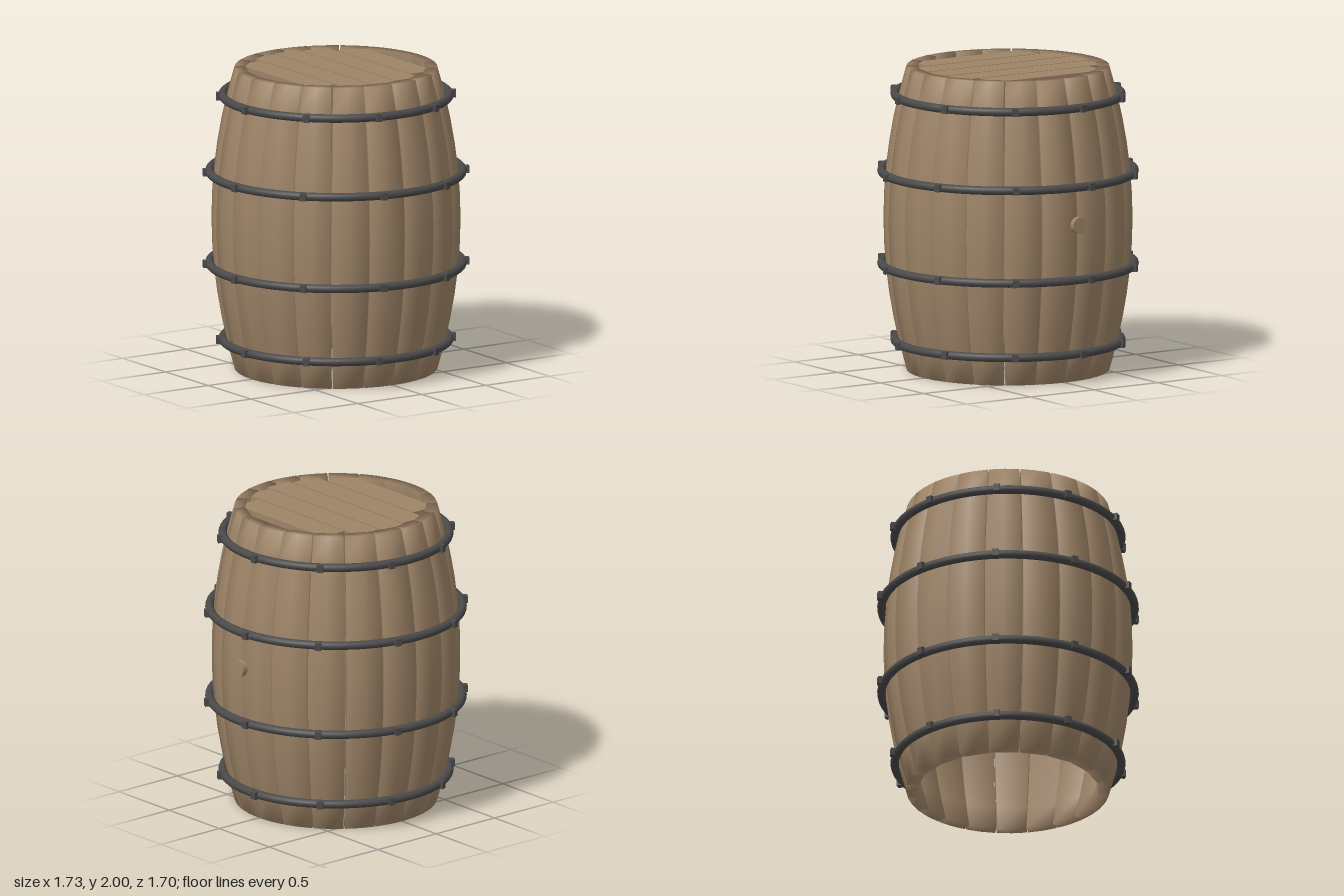
import * as THREE from 'three';

const STAVES = 20;
const LEVELS = 12;
const GAP = 0.005;
const THICK = 0.07;

// Outer barrel radius at height y
const bulge = (y) => 0.66 + 0.15 * (1 - (y - 1) ** 2);

// One bowed stave centred on +z: a five-point section lofted up the barrel curve
function staveGeometry() {
  const pos = [], idx = [], n = 5;
  for (let j = 0; j <= LEVELS; j++) {
    const y = (2 * j) / LEVELS;
    const ro = bulge(y), ri = ro - THICK;
    const ao = Math.PI / STAVES - GAP / ro, ai = Math.PI / STAVES - GAP / ri;
    for (const [r, a] of [[ro, -ao], [ro, 0], [ro, ao], [ri, ai], [ri, -ai]]) {
      pos.push(r * Math.sin(a), y, r * Math.cos(a));
    }
  }
  for (let j = 0; j < LEVELS; j++) {
    for (let i = 0; i < n; i++) {
      const a = j * n + i, b = j * n + ((i + 1) % n);
      idx.push(a, b, b + n, a, b + n, a + n);
    }
  }
  // End grain, bottom and top
  const t = LEVELS * n;
  for (const [a, b, c] of [[1, 2, 3], [1, 3, 4], [1, 4, 0]]) {
    idx.push(c, b, a, t + a, t + b, t + c);
  }
  const g = new THREE.BufferGeometry();
  g.setAttribute('position', new THREE.Float32BufferAttribute(pos, 3));
  g.setIndex(idx);
  g.computeVertexNormals();
  return g;
}

export function createModel() {
  const wood = new THREE.MeshStandardMaterial({ color: 0x9e8467 });
  wood.name = 'wood';
  const iron = new THREE.MeshStandardMaterial({ color: 0x4a4a4a });
  iron.name = 'iron';

  const barrel = new THREE.Group();
  barrel.name = 'barrel';
  const add = (parent, name, geometry, material) => {
    const m = new THREE.Mesh(geometry, material);
    m.name = name;
    parent.add(m);
    return m;
  };

  // Staves
  const staves = new THREE.Group();
  staves.name = 'staves';
  barrel.add(staves);
  const stave = staveGeometry();
  for (let i = 0; i < STAVES; i++) {
    add(staves, 'stave', stave, wood).rotation.y = ((i + 0.5) / STAVES) * Math.PI * 2;
  }

  // Lid planks, open at the sides
  const lid = new THREE.Group();
  lid.name = 'lid';
  barrel.add(lid);
  [0.43, 0.55, 0.58, 0.55, 0.43].forEach((half, i) => {
    add(lid, 'lidPlank', new THREE.BoxGeometry(0.182, 0.04, half * 2), wood)
      .position.set((i - 2) * 0.194, 1.975, 0);
  });

  // Iron hoops with ten rivets each
  const rivet = new THREE.BoxGeometry(0.045, 0.048, 0.042);
  for (const [y, r] of [[0.195, 0.737], [0.7, 0.823], [1.31, 0.823], [1.815, 0.737]]) {
    const hoop = new THREE.Group();
    hoop.name = 'hoop';
    hoop.position.y = y;
    barrel.add(hoop);
    add(hoop, 'hoopRing', new THREE.TorusGeometry(r, 0.028, 12, 64), iron).rotation.x = Math.PI / 2;
    for (let i = 0; i < 10; i++) {
      const a = THREE.MathUtils.degToRad(5.6 + i * 36);
      const m = add(hoop, 'rivet', rivet, iron);
      m.position.set(Math.cos(a) * (r + 0.022), 0, -Math.sin(a) * (r + 0.022));
      m.rotation.y = a;
    }
  }

  // Bung plug on the side
  const bung = add(barrel, 'bung', new THREE.CylinderGeometry(0.054, 0.054, 0.1, 24), wood);
  bung.rotation.z = -Math.PI / 2;
  bung.position.set(0.79, 1.06, 0);

  return barrel;
}
